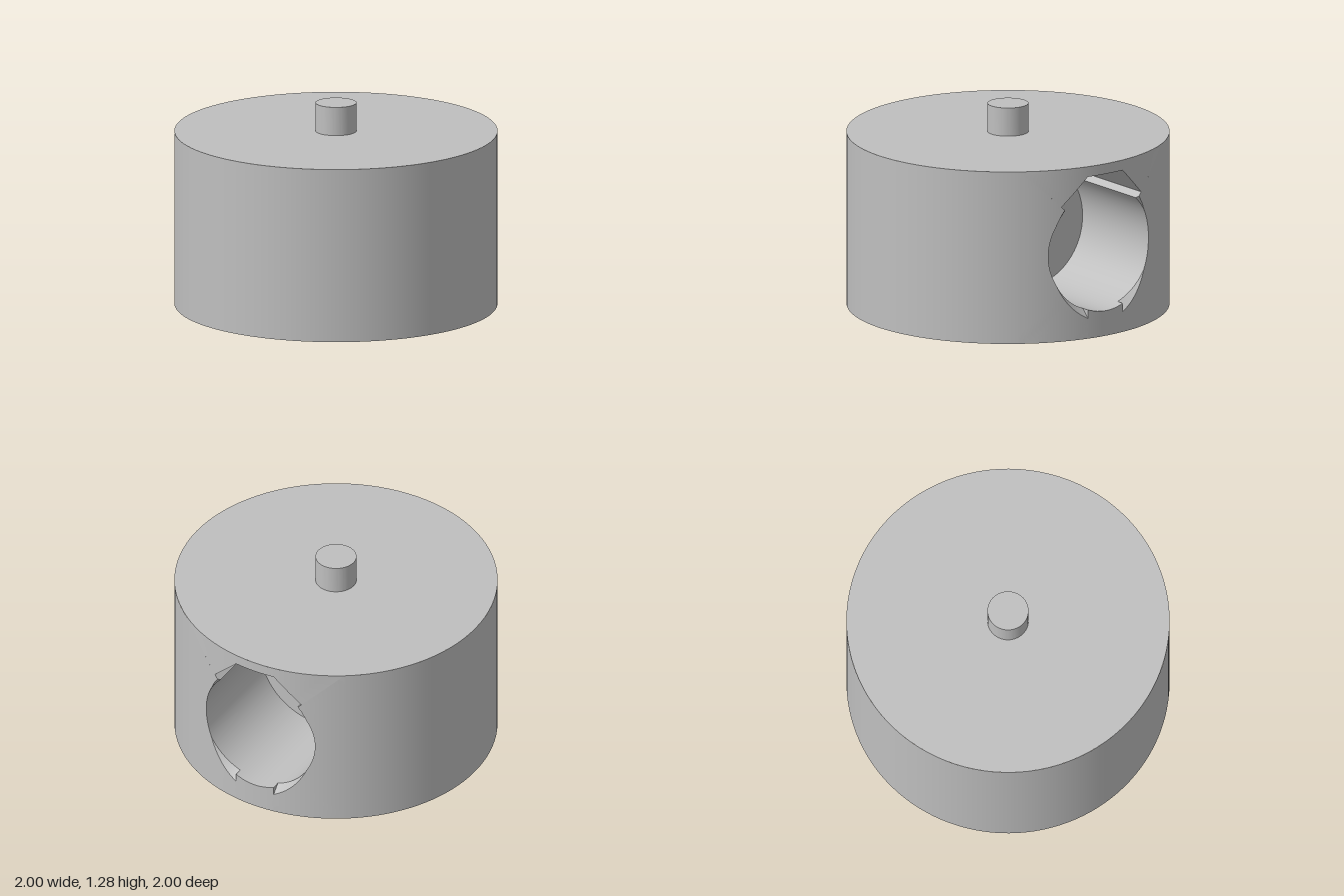
import * as THREE from 'three';
import { toCreasedNormals } from 'three/addons/utils/BufferGeometryUtils.js';

const HEIGHT = 1.1, MID = 0.55;      // drum height and bore axis height
const BORE = 0.39, CHAMFER_X = 0.94; // bore radius, where its mouth starts to widen
const END_X = 0.25;                  // blind end of the bore
const TAB = 0.135, PATCH = 0.55;     // half width of the lower tab, half size of the wall patch

const onDrum = z => Math.sqrt(1 - z * z);

// Radius of the 45 degree chamfer where it meets the drum at angle a
function chamferRadius(a) {
  let r = BORE;
  for (let i = 0; i < 20; i++) r = BORE + Math.max(0, onDrum(r * Math.sin(a)) - CHAMFER_X);
  return r;
}

// Bore outline as [z, y] about its axis: base section, mouth edge and patch border
function boreOutline() {
  const half = [];
  const toSquare = ([z, y]) => {
    const k = PATCH / Math.max(Math.abs(z), Math.abs(y));
    return [z * k, y * k];
  };
  const add = (base, mouth, outer = toSquare(mouth)) => half.push({ base, mouth, outer });
  const polar = (r, a) => [r * Math.sin(a), -r * Math.cos(a)];

  // lower tab, left without a chamfer
  for (let i = 0; i <= 6; i++) {
    const z = TAB * i / 6, p = [z, -Math.sqrt(BORE * BORE - z * z)];
    add(p, p, [z, -PATCH]);
  }
  add(half[6].base, [TAB, -0.42], [TAB, -PATCH]);

  // round chamfered sides
  const start = Math.asin(TAB / BORE), q = Math.PI / 4;
  const arc = (from, to, n, first) => {
    for (let i = first; i <= n; i++) {
      const a = from + (to - from) * i / n;
      const dir = polar(1, a);
      add(polar(BORE, a), polar(chamferRadius(a), a), toSquare(dir));
    }
  };
  arc(start, q, 8, 0);
  arc(q, 3 * q, 24, 1);

  // step, sloping flank and flat roof of the keyway
  for (let i = 0; i <= 5; i++) {
    const p = [0.31 - 0.175 * i / 5, 0.31 + 0.175 * i / 5];
    add(p, p);
  }
  for (let i = 1; i <= 3; i++) {
    const p = [TAB * (1 - i / 3), 0.485];
    add(p, p);
  }

  const flip = ([z, y]) => [-z, y];
  const other = half.slice(1).reverse().slice(1).map(p => ({
    base: flip(p.base), mouth: flip(p.mouth), outer: flip(p.outer)
  }));
  return [...half, ...other, half[0]];
}

// Skin a list of matching loops of [x, y, z] points
function skin(rows) {
  const pos = [];
  for (let r = 0; r + 1 < rows.length; r++) {
    const A = rows[r], B = rows[r + 1];
    for (let i = 0; i + 1 < A.length; i++) {
      pos.push(...A[i], ...B[i + 1], ...B[i], ...A[i], ...A[i + 1], ...B[i + 1]);
    }
  }
  const g = new THREE.BufferGeometry();
  g.setAttribute('position', new THREE.Float32BufferAttribute(pos, 3));
  return toCreasedNormals(g, 0.4);
}

export function createModel() {
  const group = new THREE.Group();
  const grey = new THREE.MeshStandardMaterial({ color: 0xbfbfbf });
  grey.name = 'plain grey';
  const add = (name, geometry) => {
    const mesh = new THREE.Mesh(geometry, grey);
    mesh.name = name;
    group.add(mesh);
  };
  const lathe = pts => toCreasedNormals(
    new THREE.LatheGeometry(pts.map(p => new THREE.Vector2(...p)), 96), 0.4);

  // top face with its pin
  add('topAndPin', lathe([[1, HEIGHT], [0.127, HEIGHT], [0.127, 1.28], [0, 1.28]]));

  // underside with counterbore and pin hole
  add('undersideRecess', lathe([[0, 0.33], [0.15, 0.33], [0.15, 0.11], [0.41, 0.11], [0.41, 0], [1, 0]]));

  // drum wall, open where the bore patch fits
  const gap = Math.asin(PATCH);
  const wall = new THREE.CylinderGeometry(1, 1, HEIGHT, 96, 1, true,
    Math.PI / 2 + gap, 2 * Math.PI - 2 * gap);
  wall.translate(0, MID, 0);
  add('drumWall', wall);

  // blind bore: end disc, straight walls, chamfered mouth
  const outline = boreOutline();
  const point = (x, [z, y]) => [x, y + MID, z];
  const mouth = outline.map(p => point(onDrum(p.mouth[0]), p.mouth));
  add('sideBore', skin([
    outline.map(() => [END_X, MID, 0]),
    outline.map(p => point(END_X, p.base)),
    outline.map((p, i) => point(Math.min(CHAMFER_X, mouth[i][0]), p.base)),
    mouth
  ]));

  // curved wall around the bore mouth
  const rings = [];
  for (let k = 0; k <= 8; k++) {
    rings.push(outline.map(p => {
      const zy = [0, 1].map(j => p.mouth[j] + (p.outer[j] - p.mouth[j]) * k / 8);
      return point(onDrum(zy[0]), zy);
    }));
  }
  add('wallAroundBore', skin(rings));

  return group;
}
